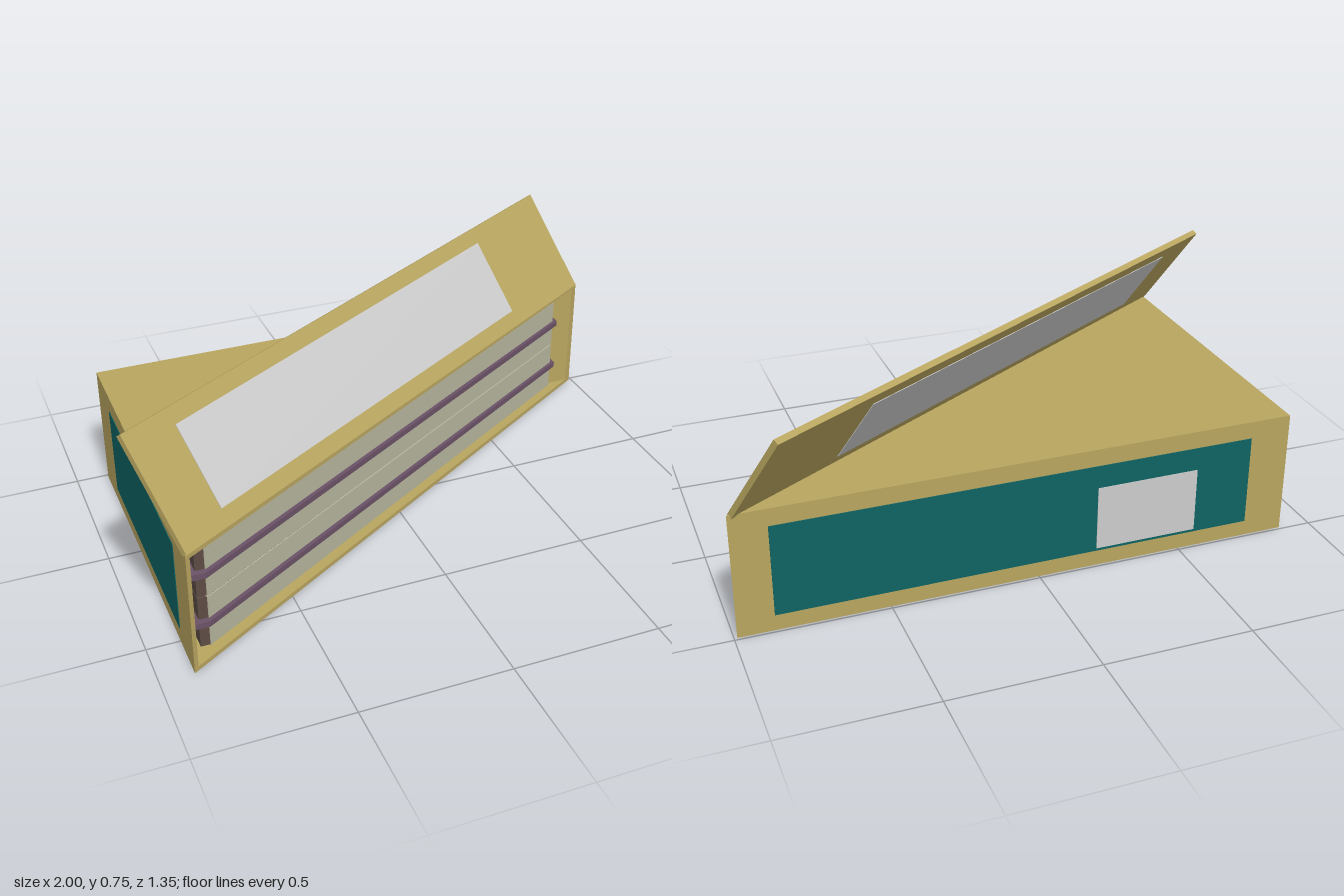
import * as THREE from 'three';

const mat = (color) => new THREE.MeshStandardMaterial({ color });
const tan = mat(0xb8a55f), teal = mat(0x0f6464), grey = mat(0xc0c0c0);
const pale = mat(0xb6b59c), purple = mat(0x6a5266), dark = mat(0x5c4c44);

// Upright prism from a floor plan of [x, z] corners
function prism(name, plan, y0, y1, material) {
  const shape = new THREE.Shape(plan.map(([x, z]) => new THREE.Vector2(x, -z)));
  const geo = new THREE.ExtrudeGeometry(shape, { depth: y1 - y0, bevelEnabled: false });
  geo.rotateX(-Math.PI / 2).translate(0, y0, 0);
  const mesh = new THREE.Mesh(geo, material);
  mesh.name = name;
  return mesh;
}

// Box given by its extents on each axis
function block(name, [x0, x1], [y0, y1], [z0, z1], material) {
  const mesh = new THREE.Mesh(new THREE.BoxGeometry(x1 - x0, y1 - y0, z1 - z0), material);
  mesh.name = name;
  mesh.position.set((x0 + x1) / 2, (y0 + y1) / 2, (z0 + z1) / 2);
  return mesh;
}

export function createModel() {
  const model = new THREE.Group();
  model.name = 'triangularBox';
  const H = 0.43, T = 0.015;
  const A = [-0.89, -0.49], B = [0.99, -0.49], C = [-0.89, 0.66];

  // Shell: floor, top and the two walls, open along the long diagonal
  model.add(prism('floor', [A, B, C], 0, T, tan));
  model.add(prism('top', [A, B, C], H - T, H, tan));
  const walls = [A, B, [B[0] - 0.025, B[1] + T], [A[0] + T, A[1] + T], [C[0] + T, C[1] - 0.01], C];
  model.add(prism('walls', walls, T, H - T, tan));

  // Coloured labels on the outer walls
  model.add(block('backLabel', [-0.75, 0.87], [0.055, 0.37], [-0.492, -0.489], teal));
  model.add(block('backPatch', [-0.555, -0.2], [0.065, 0.29], [-0.494, -0.49], grey));
  model.add(block('sideLabel', [-0.892, -0.889], [0.055, 0.37], [-0.315, 0.507], teal));

  // Diagonal frame: local x runs along the opening, local z points out of it
  const opening = new THREE.Group();
  opening.name = 'opening';
  opening.position.set(0.05, 0, 0.0875);
  opening.rotation.y = 0.546;
  model.add(opening);

  // Two stacked packs, each with a pale face and a strap around it
  const pack = [[-0.85, -0.45], [0.86, -0.45], [0.86, -0.435], [-0.82, 0.59], [-0.85, 0.59]];
  const strap = [[-0.87, -0.465], [0.88, -0.465], [0.88, -0.425], [-0.82, 0.61], [-0.87, 0.61]];
  for (const [y0, y1, band] of [[0.035, 0.216, 0.128], [0.221, 0.4, 0.309]]) {
    model.add(prism('pack', pack, y0, y1, dark));
    model.add(prism('strap', strap, band - 0.01, band + 0.01, purple));
    opening.add(block('packFace', [-1.004, 0.964], [y0, y1], [-0.03, -0.019], pale));
  }

  // Raised lid leaning back from the top edge, with a patch on both faces
  const lid = new THREE.Group();
  lid.name = 'lid';
  lid.position.y = H;
  lid.rotation.x = -0.614;
  lid.add(block('lidPanel', [-1.0935, 1.0935], [0, 0.39], [-0.02, 0], tan));
  lid.add(block('lidPatch', [-0.908, 0.678], [0.055, 0.335], [-0.022, 0.002], grey));
  opening.add(lid);

  return model;
}
